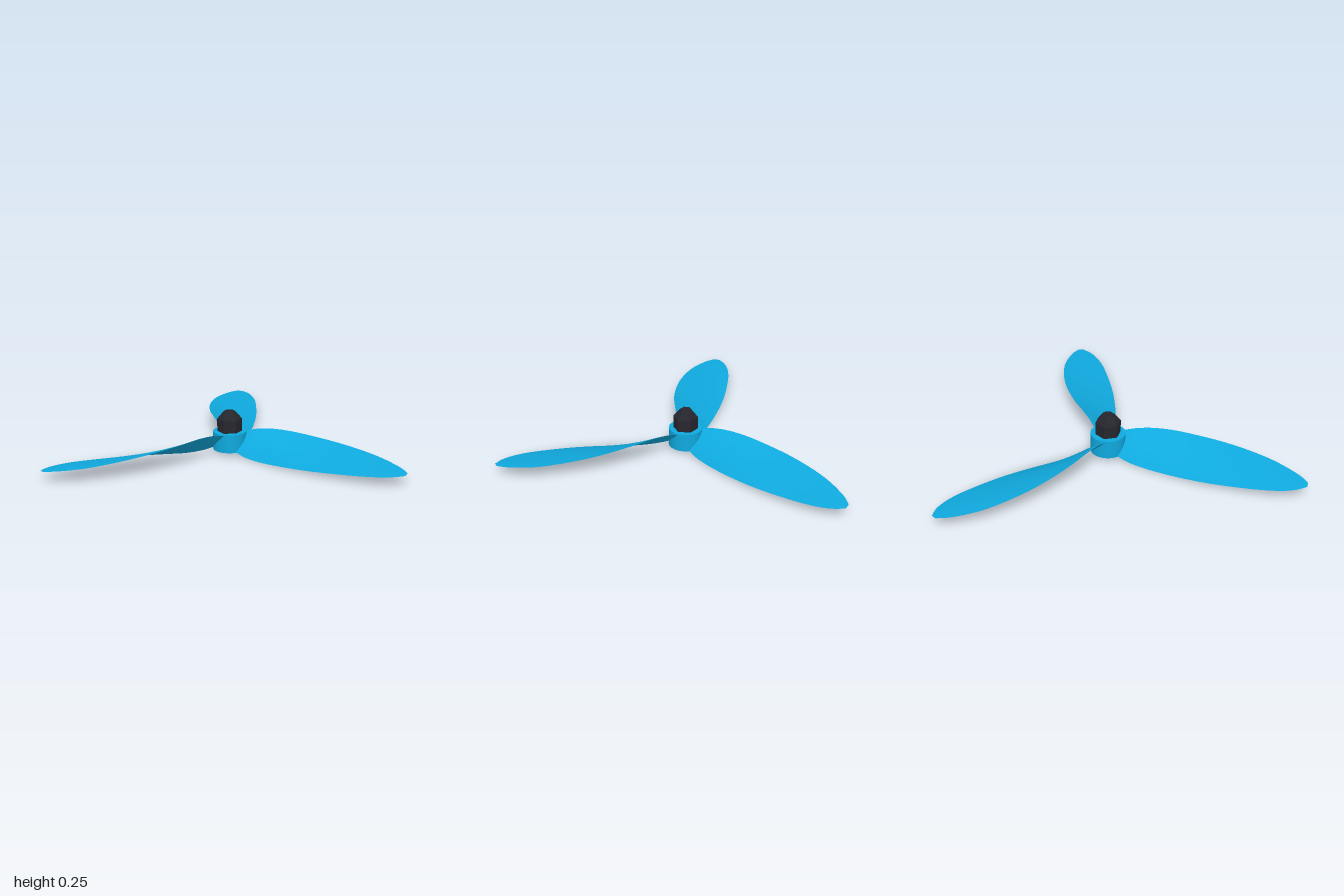
import * as THREE from 'three';

const HUB_X = -0.245, HUB_Z = 0.035;

// Blade stations measured from the hub axis: [radius, back z, back y, front z, front y]
const STATIONS = [
  [0.03, -0.05, 0.115, 0.055, 0.04],
  [0.09, -0.066, 0.128, 0.068, 0.02],
  [0.15, -0.078, 0.142, 0.084, 0.008],
  [0.245, -0.099, 0.149, 0.105, 0.003],
  [0.36, -0.119, 0.143, 0.132, 0.009],
  [0.52, -0.128, 0.128, 0.161, 0.02],
  [0.66, -0.124, 0.115, 0.176, 0.031],
  [0.82, -0.1, 0.1, 0.18, 0.043],
  [0.94, -0.067, 0.088, 0.175, 0.052],
  [1.04, -0.02, 0.079, 0.156, 0.058],
  [1.1, 0.018, 0.074, 0.13, 0.062],
  [1.145, 0.06, 0.069, 0.095, 0.065],
];

// One face of the twisted lens-section blade; side is +1 for top, -1 for bottom
function bladeFace(side) {
  const back = new THREE.CatmullRomCurve3(STATIONS.map(([r, z, y]) => new THREE.Vector3(r, y, z)));
  const front = new THREE.CatmullRomCurve3(STATIONS.map(([r, , , z, y]) => new THREE.Vector3(r, y, z)));
  const along = 55, across = 12, positions = [], index = [];
  for (let i = 0; i <= along; i++) {
    const t = i / along;
    const b = back.getPoint(t), f = front.getPoint(t);
    const chord = f.clone().sub(b);
    const normal = new THREE.Vector3(0, chord.z, -chord.y).normalize();
    const half = 0.009 * (1 - t * t);
    for (let j = 0; j <= across; j++) {
      const s = j / across;
      const p = b.clone().addScaledVector(chord, s).addScaledVector(normal, side * half * 4 * s * (1 - s));
      positions.push(p.x, p.y, p.z);
      if (i < along && j < across) {
        const a = i * (across + 1) + j, c = a + across + 1;
        if (side > 0) index.push(a, a + 1, c, a + 1, c + 1, c);
        else index.push(a, c, a + 1, a + 1, c, c + 1);
      }
    }
  }
  const geometry = new THREE.BufferGeometry();
  geometry.setAttribute('position', new THREE.Float32BufferAttribute(positions, 3));
  geometry.setIndex(index);
  geometry.computeVertexNormals();
  return geometry;
}

export function createModel() {
  const blue = new THREE.MeshStandardMaterial({ color: 0x0fa9de });
  blue.name = 'blue plastic';
  const dark = new THREE.MeshStandardMaterial({ color: 0x26262e });
  dark.name = 'dark metal';

  const model = new THREE.Group();
  model.name = 'propeller';
  const add = (name, geometry, material, y, parent = model) => {
    const mesh = new THREE.Mesh(geometry, material);
    mesh.name = name;
    mesh.position.y = y;
    parent.add(mesh);
    return mesh;
  };

  const rotor = new THREE.Group();
  rotor.name = 'rotor';
  rotor.position.set(HUB_X, 0, HUB_Z);
  model.add(rotor);

  // Hub
  add('hub', new THREE.CylinderGeometry(0.1, 0.1, 0.11, 48), blue, 0.075, rotor);

  // Three identical blades
  const top = bladeFace(1), bottom = bladeFace(-1);
  for (let k = 0; k < 3; k++) {
    const blade = new THREE.Group();
    blade.name = 'blade' + (k + 1);
    blade.rotation.y = (k * Math.PI * 2) / 3;
    add('bladeTop', top, blue, 0, blade);
    add('bladeBottom', bottom, blue, 0, blade);
    rotor.add(blade);
  }

  // Hexagonal lock nut with a tapered cap
  const hex = (r1, r2, h) => {
    const g = new THREE.CylinderGeometry(r1, r2, h, 6).toNonIndexed();
    g.computeVertexNormals();
    return g;
  };
  add('nut', hex(0.074, 0.074, 0.077), dark, 0.1665, rotor);
  add('nutCap', hex(0.034, 0.074, 0.047), dark, 0.2285, rotor);

  return model;
}
